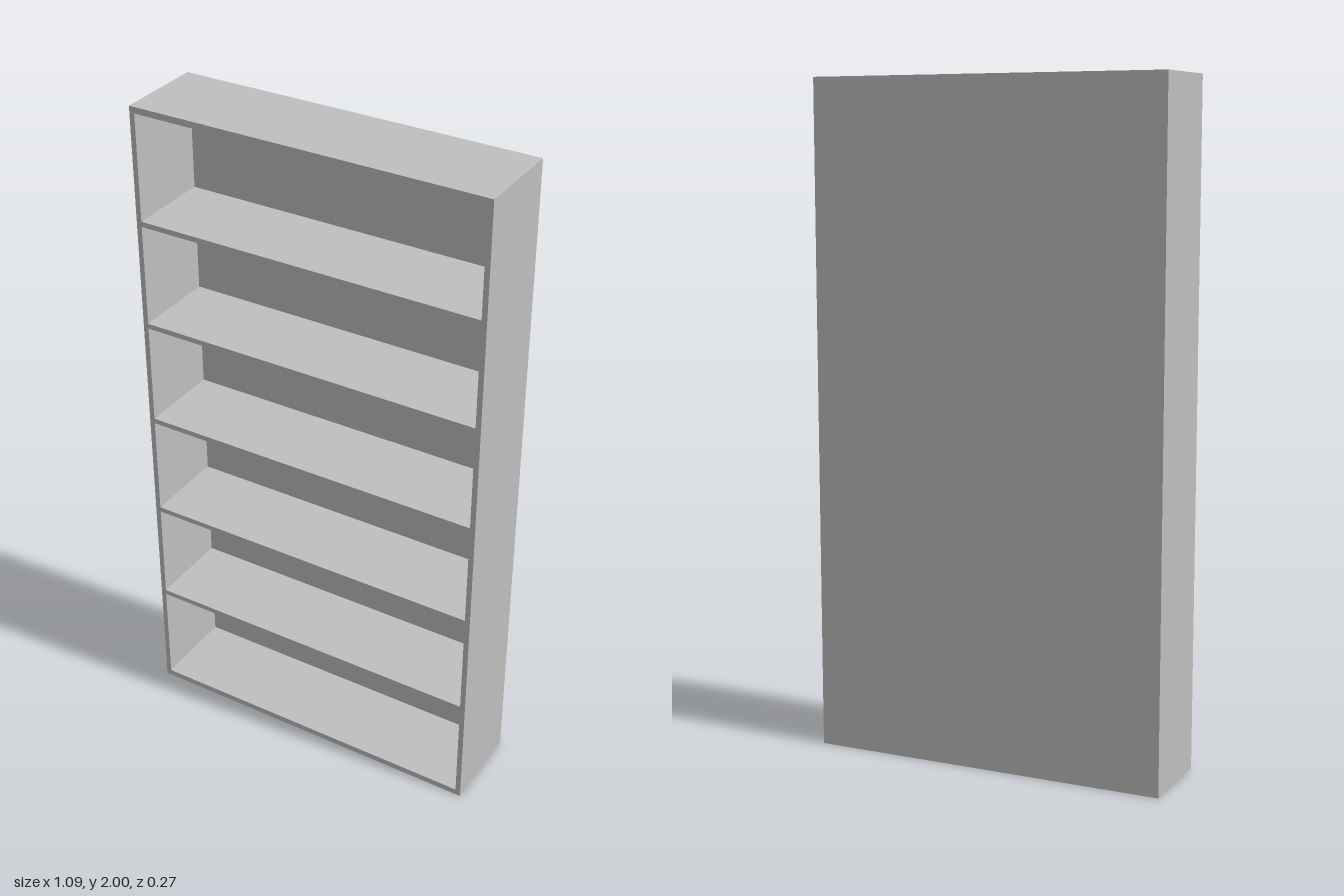
import * as THREE from 'three';

const W = 1.088, H = 2, D = 0.272;
const SIDE = 0.016, END = 0.019, SHELF = 0.016, BACK = 0.014;
const SHELVES = 5, PITCH = 0.326;

// Axis-aligned rectangle outline
function rect(Type, x0, y0, x1, y1) {
  const path = new Type();
  path.moveTo(x0, y0);
  path.lineTo(x1, y0);
  path.lineTo(x1, y1);
  path.lineTo(x0, y1);
  path.closePath();
  return path;
}

export function createModel() {
  const group = new THREE.Group();
  group.name = 'bookcase';
  const grey = new THREE.MeshStandardMaterial({ color: 0xbfbfbf });
  grey.name = 'light grey';

  // Frame and flush shelves: one board outline with an opening per compartment
  const outline = rect(THREE.Shape, -W / 2, 0, W / 2, H);
  const x = W / 2 - SIDE;
  let bottom = END;
  for (let i = 0; i <= SHELVES; i++) {
    const shelfY = H / 2 + (i - (SHELVES - 1) / 2) * PITCH;
    const top = i < SHELVES ? shelfY - SHELF / 2 : H - END;
    outline.holes.push(rect(THREE.Path, -x, bottom, x, top));
    bottom = shelfY + SHELF / 2;
  }
  const frameGeometry = new THREE.ExtrudeGeometry(outline, { depth: D - BACK, bevelEnabled: false });
  frameGeometry.translate(0, 0, -D / 2 + BACK);
  const frame = new THREE.Mesh(frameGeometry, grey);
  frame.name = 'frameAndShelves';
  group.add(frame);

  // Full-size back panel
  const back = new THREE.Mesh(new THREE.BoxGeometry(W, H, BACK), grey);
  back.name = 'backPanel';
  back.position.set(0, H / 2, -D / 2 + BACK / 2);
  group.add(back);

  return group;
}
